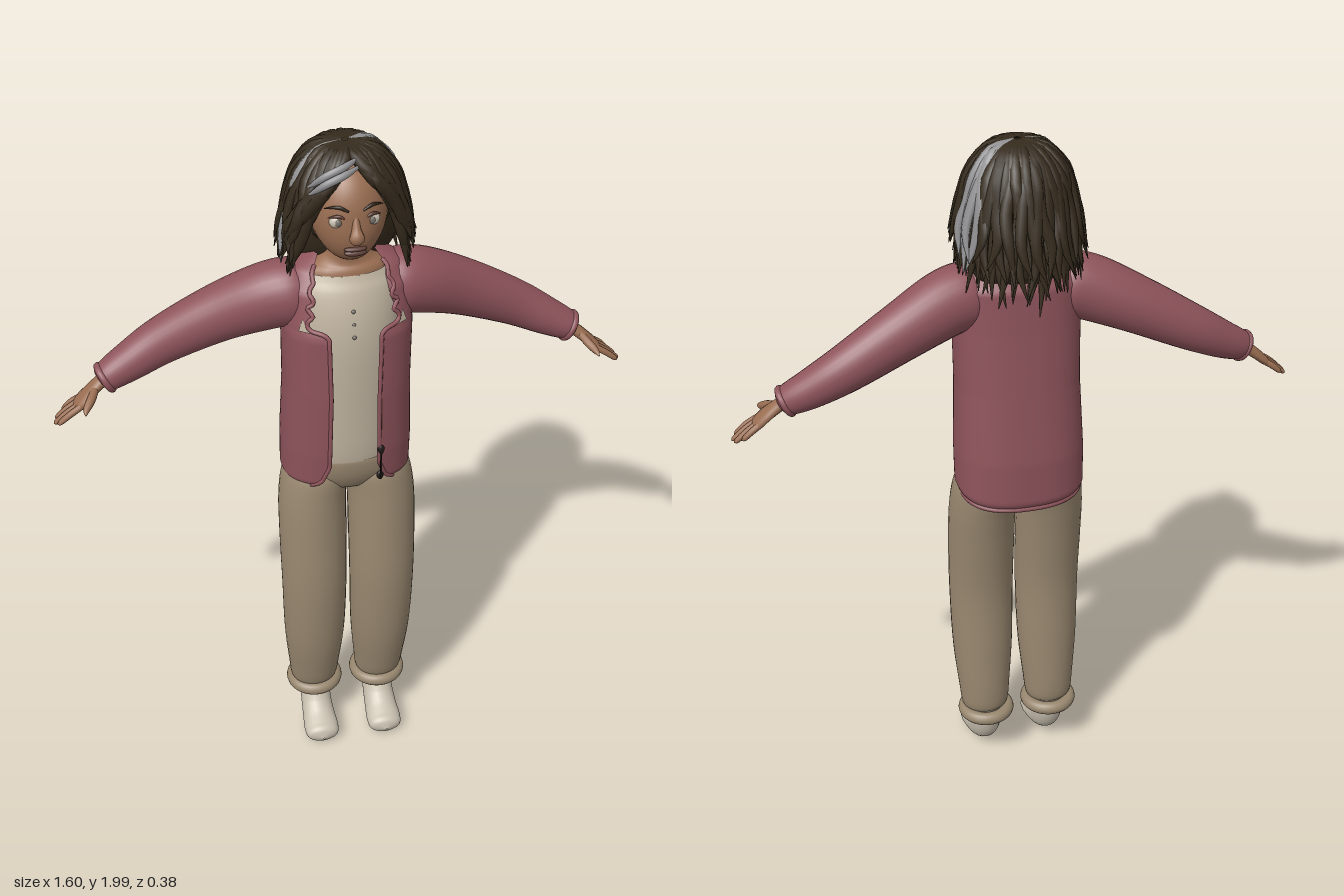
import * as THREE from 'three';

const mat = (name, color, side = THREE.FrontSide) => {
  const m = new THREE.MeshStandardMaterial({ color, side });
  m.name = name;
  return m;
};
const M = {
  jacket: mat('jacket red', 0x8e545b, THREE.DoubleSide),
  pants: mat('pants tan', 0x98876f),
  shirt: mat('shirt cream', 0xc0b4a0, THREE.DoubleSide),
  sock: mat('sock cream', 0xcac1b1),
  skin: mat('skin', 0x9a6e52),
  hair: mat('dark hair', 0x352b1d),
  grey: mat('grey hair', 0x929294),
  lips: mat('lips', 0x5f3f37),
  button: mat('button grey', 0x77706a),
  dark: mat('black', 0x1f1a18),
};
const V = (x, y, z) => new THREE.Vector3(x, y, z);
const X = V(1, 0, 0), Z = V(0, 0, 1);

// Smooth body through points [x, y, z, a, b]; a is the half width along ref, b across it
function limb(pts, ref, n = 24, m = 20) {
  const path = new THREE.CatmullRomCurve3(pts.map(p => V(p[0], p[1], p[2])), false, 'catmullrom', 0.5);
  const size = new THREE.CatmullRomCurve3(pts.map(p => V(p[3], p[4], 0)), false, 'catmullrom', 0.5);
  const pos = [], idx = [];
  for (let i = 0; i <= n; i++) {
    const t = i / n, P = path.getPoint(t), T = path.getTangent(t), r = size.getPoint(t);
    const S = ref.clone().addScaledVector(T, -ref.dot(T)).normalize();
    const B = T.clone().cross(S);
    for (let j = 0; j < m; j++) {
      const q = j / m * Math.PI * 2;
      const v = P.clone().addScaledVector(S, Math.max(r.x, 0.0005) * Math.cos(q))
        .addScaledVector(B, Math.max(r.y, 0.0005) * Math.sin(q));
      pos.push(v.x, v.y, v.z);
      if (i < n) {
        const a = i * m + j, b = i * m + (j + 1) % m;
        idx.push(a, b, a + m, b, b + m, a + m);
      }
    }
  }
  return surface(pos, idx);
}
function surface(pos, idx) {
  const g = new THREE.BufferGeometry();
  g.setAttribute('position', new THREE.Float32BufferAttribute(pos, 3));
  g.setIndex(idx);
  g.computeVertexNormals();
  return g;
}

// Jacket profile rows: y, half width, front z, back z
const PROFILE = [[0.97, 0.168, 0.118, -0.14], [0.99, 0.183, 0.13, -0.154], [1.1, 0.183, 0.14, -0.152],
  [1.3, 0.175, 0.149, -0.132], [1.48, 0.176, 0.147, -0.116], [1.6, 0.172, 0.11, -0.108],
  [1.65, 0.145, 0.075, -0.08], [1.68, 0.085, 0.03, -0.055]];
// Half width of the opening, with the jagged lapel edge
const OPENING = [[0.97, 0.125], [1.0, 0.09], [1.06, 0.07], [1.3, 0.066], [1.49, 0.07], [1.5, 0.075], [1.506, 0.112],
  [1.53, 0.126], [1.545, 0.106], [1.57, 0.12], [1.585, 0.1], [1.61, 0.115], [1.625, 0.1], [1.65, 0.1], [1.68, 0.075]];
function lookup(table, y) {
  let i = 0;
  while (i < table.length - 2 && y > table[i + 1][0]) i++;
  const t = (y - table[i][0]) / (table[i + 1][0] - table[i][0]);
  return table[i].map((v, k) => v + (table[i + 1][k] - v) * t);
}
function jacketPoint(y, u) {
  const [, w, f, k] = lookup(PROFILE, y), o = lookup(OPENING, y)[1];
  const a0 = Math.asin(Math.min(0.98, (o / w) ** 1.25));
  const a = a0 + u * (2 * Math.PI - 2 * a0), s = Math.sin(a), c = Math.cos(a);
  const drop = Math.max(0, 1.1 - y) / 0.13 * 0.018 * c;
  return V(w * Math.sign(s) * Math.abs(s) ** 0.8, y + drop, (f + k) / 2 + (f - k) / 2 * Math.sign(c) * Math.abs(c) ** 0.8);
}
function frontZ(x, y) {
  const [, w, f, k] = lookup(PROFILE, y), s = (Math.abs(x) / w) ** 1.25;
  return (f + k) / 2 + (f - k) / 2 * (1 - s * s) ** 0.4;
}
function jacketShell() {
  const pos = [], idx = [], rows = 90, cols = 56;
  for (let i = 0; i <= rows; i++) for (let j = 0; j <= cols; j++) {
    pos.push(...jacketPoint(0.97 + 0.71 * i / rows, j / cols).toArray());
    if (i < rows && j < cols) {
      const a = i * (cols + 1) + j, d = a + cols + 1;
      idx.push(a, a + 1, d, a + 1, d + 1, d);
    }
  }
  return surface(pos, idx);
}

export function createModel() {
  const root = new THREE.Group();
  const add = (name, geo, material, p = [0, 0, 0], s = [1, 1, 1]) => {
    const m = new THREE.Mesh(geo, material);
    m.name = name;
    m.position.set(...p);
    m.scale.set(...s);
    root.add(m);
    return m;
  };
  const ball = new THREE.SphereGeometry(1, 28, 20);
  let seed = 7;
  const rnd = () => (seed = (seed * 16807) % 2147483647) / 2147483647;

  // Torso
  add('shirt', limb([[0, 1.03, 0, 0.13, 0.09], [0, 1.06, 0.005, 0.15, 0.112], [0, 1.2, 0.005, 0.152, 0.12],
    [0, 1.45, 0.008, 0.15, 0.12], [0, 1.58, 0.0, 0.145, 0.098], [0, 1.635, 0, 0.115, 0.07]], X, 24, 32), M.shirt);
  add('neck', limb([[0, 1.56, 0, 0.11, 0.07], [0, 1.63, 0, 0.112, 0.068], [0, 1.662, 0, 0.075, 0.055],
    [0, 1.7, 0.005, 0.05, 0.05], [0, 1.78, 0.015, 0.05, 0.05]], X), M.skin);
  add('pelvis', limb([[0, 0.925, 0.005, 0.01, 0.01], [0, 0.945, 0.005, 0.1, 0.07], [0, 1.0, 0.005, 0.165, 0.105],
    [0, 1.06, 0.003, 0.158, 0.116], [0, 1.075, 0.003, 0.12, 0.1]], X, 20, 32), M.pants);
  for (const y of [1.55, 1.515, 1.48])
    add('shirtButton', ball, M.button, [0, y, lookup([[1.45, 0.128], [1.58, 0.1]], y)[1] + 0.002], [0.006, 0.006, 0.005]);

  // Jacket body, rolled edges and zip
  add('jacketBody', jacketShell(), M.jacket);
  const trim = [...Array(61)].map((_, i) => 0.972 + 0.69 * i / 60);
  for (const u of [0, 1]) {
    const c = new THREE.CatmullRomCurve3(trim.map(y => jacketPoint(y, u)));
    add('jacketEdge', new THREE.TubeGeometry(c, 120, 0.006, 8), M.jacket);
  }
  const hem = new THREE.CatmullRomCurve3([...Array(41)].map((_, i) => jacketPoint(0.974, i / 40)));
  add('jacketHem', new THREE.TubeGeometry(hem, 80, 0.008, 8), M.jacket);
  for (const y of [1.115, 1.02])
    add('zipPull', ball, M.dark, [0.073, y, frontZ(0.073, y) + 0.004], [0.01, 0.014, 0.007]);
  add('zipLine', new THREE.BoxGeometry(0.004, 0.1, 0.006), M.dark, [0.073, 1.067, 0.143]);

  for (const s of [1, -1]) {
    // Lapel notch plate
    const tri = new THREE.BufferGeometry().setFromPoints([[0.118, 1.506], [0.145, 1.506], [0.134, 1.54]]
      .map(([x, y]) => V(s * x, y, frontZ(x, y) + 0.004)));
    tri.computeVertexNormals();
    add('lapelNotch', tri, M.shirt);

    // Sleeve and cuff
    add('sleeve', limb([[0.09, 1.56, 0, 0.05, 0.05], [0.13, 1.567, 0, 0.084, 0.088], [0.2, 1.555, -0.012, 0.086, 0.092],
      [0.33, 1.5, -0.042, 0.075, 0.08], [0.48, 1.424, -0.06, 0.063, 0.066], [0.58, 1.37, -0.052, 0.054, 0.054],
      [0.645, 1.338, -0.04, 0.044, 0.042], [0.662, 1.328, -0.037, 0.03, 0.028]]
      .map(p => [s * p[0], ...p.slice(1)]), Z, 40, 28), M.jacket);
    const cuff = add('sleeveCuff', new THREE.TorusGeometry(0.036, 0.011, 10, 28), M.jacket, [s * 0.65, 1.335, -0.039]);
    cuff.lookAt(s * 1.55, 0.87, 0.06);

    // Hand: palm, four fingers, thumb
    const hand = (name, p) => add(name, limb(p.map(q => [s * q[0], ...q.slice(1)]), Z, 14, 12), M.skin);
    hand('palm', [[0.64, 1.342, -0.038, 0.022, 0.02], [0.67, 1.322, -0.034, 0.024, 0.017], [0.7, 1.298, -0.026, 0.034, 0.015],
      [0.73, 1.272, -0.022, 0.034, 0.012], [0.742, 1.264, -0.021, 0.01, 0.004]]);
    [[-0.05, 0.776, 1.238], [-0.032, 0.795, 1.225], [-0.012, 0.8, 1.222], [0.006, 0.79, 1.23]].forEach(([z, x, y]) =>
      hand('finger', [[0.718, 1.28, z * 0.85 - 0.003, 0.009, 0.009], [(0.718 + x) / 2, (1.28 + y) / 2 + 0.003, z, 0.009, 0.009],
        [x - 0.008, y + 0.006, z, 0.008, 0.007], [x, y, z, 0.001, 0.001]]));
    hand('thumb', [[0.678, 1.318, -0.02, 0.01, 0.01], [0.695, 1.303, 0.015, 0.012, 0.012], [0.71, 1.29, 0.04, 0.009, 0.009],
      [0.714, 1.284, 0.06, 0.001, 0.001]]);

    // Trouser leg, rolled cuff, sock foot
    add('trouserLeg', limb([[0.08, 1.04, 0, 0.07, 0.08], [0.09, 0.98, 0.006, 0.092, 0.103], [0.1, 0.9, 0.018, 0.097, 0.1],
      [0.102, 0.78, 0.032, 0.098, 0.094], [0.102, 0.6, 0.045, 0.096, 0.088], [0.102, 0.4, 0.036, 0.091, 0.084],
      [0.102, 0.25, 0.02, 0.078, 0.072], [0.102, 0.185, 0.012, 0.07, 0.061], [0.102, 0.165, 0.01, 0.05, 0.045]]
      .map(p => [s * p[0], ...p.slice(1)]), X, 48, 32), M.pants);
    add('trouserCuff', new THREE.TorusGeometry(0.066, 0.02, 14, 40).rotateX(Math.PI / 2), M.pants, [s * 0.1, 0.16, 0.008]);
    const foot = limb([[0.1, 0.2, 0.008, 0.046, 0.044], [0.1, 0.13, 0.01, 0.047, 0.047], [0.1, 0.078, 0.036, 0.047, 0.05],
      [0.1, 0.05, 0.08, 0.05, 0.044], [0.1, 0.038, 0.125, 0.053, 0.036], [0.1, 0.034, 0.155, 0.044, 0.029], [0.1, 0.032, 0.17, 0.002, 0.002]]
      .map(p => [s * p[0], ...p.slice(1)]), X, 32, 24);
    const fp = foot.attributes.position;
    for (let i = 0; i < fp.count; i++) fp.setY(i, Math.max(fp.getY(i), 0));
    foot.computeVertexNormals();
    add('sockFoot', foot, M.sock);

    // Eye and brow
    add('eye', ball, M.sock, [s * 0.043, 1.825, 0.117], [0.022, 0.018, 0.014]);
    add('iris', ball, M.button, [s * 0.043, 1.825, 0.128], [0.009, 0.01, 0.005]);
    add('upperLid', limb([[s * 0.02, 1.833, 0.131, 0.001, 0.001], [s * 0.044, 1.844, 0.129, 0.004, 0.005],
      [s * 0.068, 1.834, 0.112, 0.001, 0.001]], Z, 12, 8), M.lips);
    add('eyebrow', limb([[s * 0.018, 1.858, 0.135, 0.002, 0.003], [s * 0.045, 1.869, 0.127, 0.004, 0.005],
      [s * 0.075, 1.858, 0.105, 0.001, 0.001]], Z, 12, 8), M.hair);
  }

  // Head with a narrowed jaw
  const head = new THREE.SphereGeometry(1, 36, 28), hp = head.attributes.position;
  for (let i = 0; i < hp.count; i++) {
    const y = hp.getY(i), k = 1 - 0.12 * Math.max(0, -y);
    hp.setXYZ(i, hp.getX(i) * 0.104 * k, y * 0.138, hp.getZ(i) * 0.108 + Math.max(0, -y) * 0.02);
  }
  head.computeVertexNormals();
  add('head', head, M.skin, [0, 1.823, 0.03]);
  add('nose', limb([[0, 1.84, 0.128, 0.008, 0.008], [0, 1.81, 0.14, 0.012, 0.012], [0, 1.787, 0.149, 0.02, 0.016],
    [0, 1.772, 0.138, 0.008, 0.008]], X, 14, 14), M.skin);
  for (const [y, h] of [[1.75, 0.007], [1.739, 0.009]])
    add('lip', ball, M.lips, [0, y, 0.131], [0.03, h, 0.011]);

  // Hair mass under the strands
  add('hairCap', ball, M.hair, [0, 1.84, -0.015], [0.128, 0.148, 0.128]);
  add('hairBack', limb([[0, 1.9, -0.03, 0.08, 0.08], [0, 1.8, -0.045, 0.132, 0.09], [0, 1.7, -0.06, 0.15, 0.08],
    [0, 1.64, -0.075, 0.125, 0.05], [0, 1.62, -0.08, 0.05, 0.02]], X, 20, 28), M.hair);

  // Strands fall from the crown; those in front are swept beside the face
  const FALL = [[0.012, 1.986, 0], [0.07, 1.972, 8], [0.115, 1.915, 28], [0.138, 1.83, 50], [0.156, 1.74, 60], [0.172, 1.66, 64]];
  function strand(deg, lift, end, width, material) {
    const sg = Math.sign(deg) || 1, ab = Math.abs(deg), wave = rnd() * 6.28;
    const back = Math.max(0, ab - 60) / 120;
    const bottom = end - back * 0.07;
    const pts = FALL.map(([r, y, min], k) => {
      const phi = (sg * Math.max(ab, min + ab * 0.12) + Math.sin(wave + k * 2) * 1.2 * k) * Math.PI / 180;
      const yy = k < 3 ? y : 1.915 + (bottom - 1.915) * (k - 2) / 3;
      const rr = r + lift * Math.min(1, k / 2) + (rnd() - 0.5) * 0.008;
      const w = [0.35, 0.8, 1, 1, 0.85, 0.08][k] * width;
      return [rr * Math.sin(phi), yy, rr * 0.92 * Math.cos(phi) - 0.002 - 0.008 * k * back, w, w * 0.62];
    });
    const mid = deg * Math.PI / 180;
    add(material === M.grey ? 'greyStrand' : 'hairStrand',
      limb(pts, V(Math.cos(mid), 0, -Math.sin(mid)), 15, 7), material);
  }
  for (let i = 0; i < 72; i++)
    strand(-177.5 + i * 5, 0, 1.665 + (rnd() - 0.5) * 0.05, 0.016, M.hair);
  for (let i = 0; i < 52; i++) {
    const deg = -176.5 + i * 360 / 52;
    const grey = (deg > 100 && deg < 128) || (deg > -84 && deg < -76);
    strand(deg, 0.011, 1.69 + rnd() * 0.06, 0.017, grey ? M.grey : M.hair);
  }
  // Grey streak swept over the forehead
  for (const d of [0, 0.016])
    add('greyStreak', limb([[0.03, 1.972 - d, 0.06 + d, 0.002, 0.002], [-0.02, 1.962 - d, 0.096 + d * 0.7, 0.008, 0.01],
      [-0.075, 1.938 - d, 0.098 + d * 0.7, 0.008, 0.011], [-0.118, 1.895 - d, 0.07 + d * 0.6, 0.002, 0.002]], Z, 18, 8), M.grey);
  return root;
}
